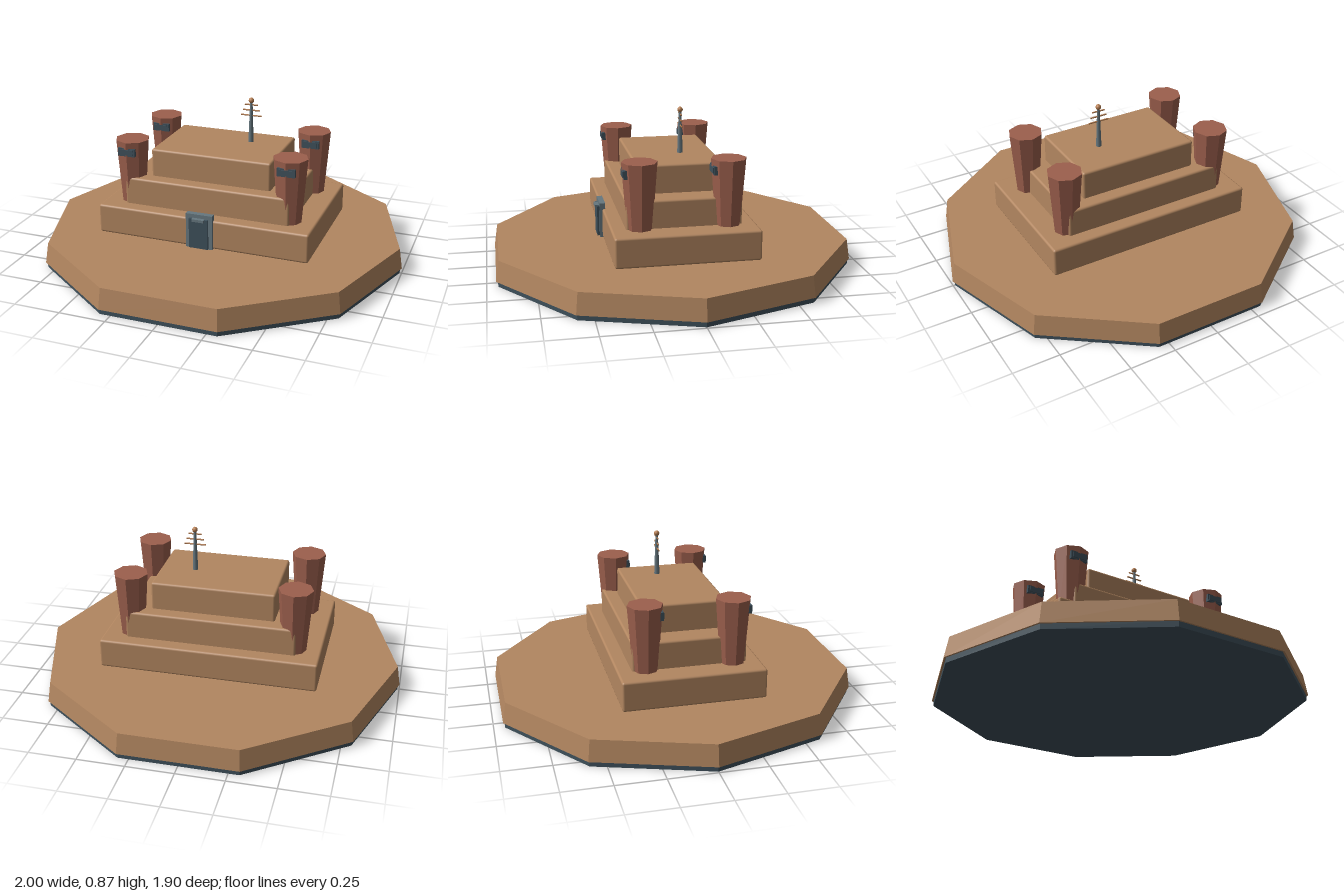
import * as THREE from 'three';
import { RoundedBoxGeometry } from 'three/addons/geometries/RoundedBoxGeometry.js';

const paint = (name, color) => {
  const m = new THREE.MeshStandardMaterial({ color });
  m.name = name;
  return m;
};

// Faceted cylinder with hard edges
function prism(rTop, rBottom, height, sides, turn = 0) {
  const g = new THREE.CylinderGeometry(rTop, rBottom, height, sides).toNonIndexed();
  g.rotateY(turn);
  g.computeVertexNormals();
  return g;
}

export function createModel() {
  const sand = paint('sandstone', 0xb28660);
  const clay = paint('red clay', 0x9c5f4d);
  const steel = paint('steel', 0x66777f);
  const slate = paint('dark slate', 0x3f515c);
  const copper = paint('copper', 0xb57d50);

  const model = new THREE.Group();
  model.name = 'desertFortress';
  const add = (name, geometry, material, x, y, z, parent = model) => {
    const mesh = new THREE.Mesh(geometry, material);
    mesh.name = name;
    mesh.position.set(x, y, z);
    parent.add(mesh);
    return mesh;
  };

  // Ten-sided platform with a dark foot
  const turn = Math.PI / 10;
  add('platformFoot', prism(0.99, 0.99, 0.03, 10, turn), slate, 0, 0.015, 0);
  add('platform', prism(0.982, 1, 0.112, 10, turn), sand, 0, 0.084, 0);

  // Stepped body: width, depth, bottom, top
  const tiers = [
    [1.17, 0.75, 0.155, 0.314],
    [0.915, 0.6, 0.3, 0.461],
    [0.666, 0.454, 0.445, 0.612],
  ];
  tiers.forEach(([w, d, y0, y1], i) => {
    add('tier' + (i + 1), new RoundedBoxGeometry(w, y1 - y0, d, 2, 0.012), sand,
      -0.003, (y0 + y1) / 2, -0.003);
  });

  // Four corner towers, each with a viewing slit on its front
  for (const sx of [-1, 1]) {
    for (const sz of [-1, 1]) {
      const tower = new THREE.Group();
      tower.name = 'tower';
      tower.position.set(sx * 0.44 - 0.003, 0, sz * 0.228 - 0.003);
      add('towerShaft', prism(0.092, 0.065, 0.355, 8), clay, 0, 0.484, 0, tower);
      add('slitFrame', new THREE.BoxGeometry(0.096, 0.044, 0.03), slate, 0, 0.607, 0.07, tower);
      add('slitPane', new THREE.BoxGeometry(0.076, 0.03, 0.006), slate, 0, 0.607, 0.087, tower);
      model.add(tower);
    }
  }

  // Front door
  const door = new THREE.Group();
  door.name = 'door';
  door.position.set(-0.003, 0, 0);
  add('doorFrame', new THREE.BoxGeometry(0.146, 0.19, 0.03), steel, 0, 0.25, 0.371, door);
  add('doorPanel', new THREE.BoxGeometry(0.104, 0.165, 0.014), slate, 0, 0.241, 0.391, door);
  add('doorLamp', new THREE.BoxGeometry(0.066, 0.014, 0.022), steel, 0, 0.318, 0.397, door);
  model.add(door);

  // Roof antenna
  const antenna = new THREE.Group();
  antenna.name = 'antenna';
  antenna.position.set(0.135, 0, -0.04);
  add('mast', new THREE.CylinderGeometry(0.007, 0.015, 0.225, 8), steel, 0, 0.738, 0, antenna);
  add('tip', new THREE.SphereGeometry(0.015, 12, 8), copper, 0, 0.856, 0, antenna);
  for (const [y, length] of [[0.773, 0.116], [0.802, 0.094], [0.832, 0.072]]) {
    const bar = new THREE.CylinderGeometry(0.004, 0.004, length, 6).rotateZ(Math.PI / 2);
    add('crossbar', bar, copper, 0, y, 0, antenna);
  }
  model.add(antenna);

  return model;
}
